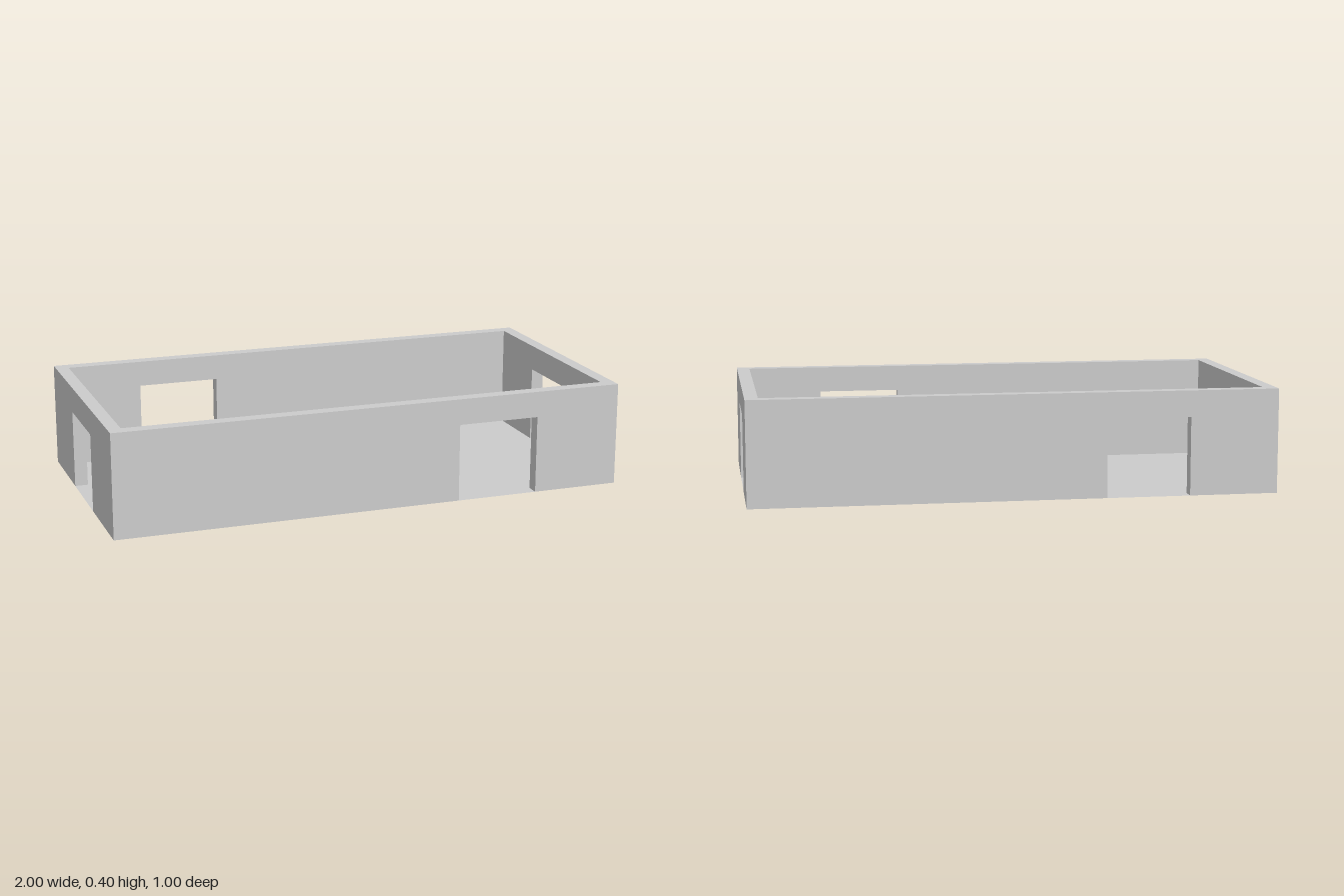
import * as THREE from 'three';

const HEIGHT = 0.4, THICK = 0.05;
const DOOR_W = 0.32, DOOR_H = 0.3;
const material = new THREE.MeshStandardMaterial({ color: 0xcccccc, side: THREE.DoubleSide });

// Wall with a doorway open to the floor, outer face at z = offset, ends mitred at the corners
function makeWall(name, length, offset, doorX, angle) {
  const h = length / 2, l = doorX - DOOR_W / 2, r = doorX + DOOR_W / 2;
  const outline = [[-h, 0], [l, 0], [l, DOOR_H], [r, DOOR_H], [r, 0], [h, 0], [h, HEIGHT], [-h, HEIGHT]];
  const shape = new THREE.Shape(outline.map(([x, y]) => new THREE.Vector2(x, y)));
  const geometry = new THREE.ExtrudeGeometry(shape, { depth: THICK, bevelEnabled: false });

  // Pull the inner ends in by the wall thickness
  const p = geometry.attributes.position;
  for (let i = 0; i < p.count; i++) {
    const x = p.getX(i);
    if (p.getZ(i) < THICK / 2 && Math.abs(x) > h - 1e-4) p.setX(i, Math.sign(x) * (h - THICK));
  }
  geometry.translate(0, 0, offset - THICK);
  geometry.rotateY(angle);
  geometry.computeVertexNormals();

  const wall = new THREE.Mesh(geometry, material);
  wall.name = name;
  return wall;
}

export function createModel() {
  const model = new THREE.Group();
  model.name = 'room';

  // Thin floor under the whole room
  const floor = new THREE.Mesh(new THREE.PlaneGeometry(2, 1).rotateX(-Math.PI / 2), material);
  floor.name = 'floor';

  // Long walls have an off-centre doorway, short walls a central one
  model.add(
    floor,
    makeWall('frontWall', 2, 0.5, 0.5, 0),
    makeWall('backWall', 2, 0.5, 0.5, Math.PI),
    makeWall('leftWall', 1, 1, 0, Math.PI / 2),
    makeWall('rightWall', 1, 1, 0, -Math.PI / 2)
  );
  return model;
}
